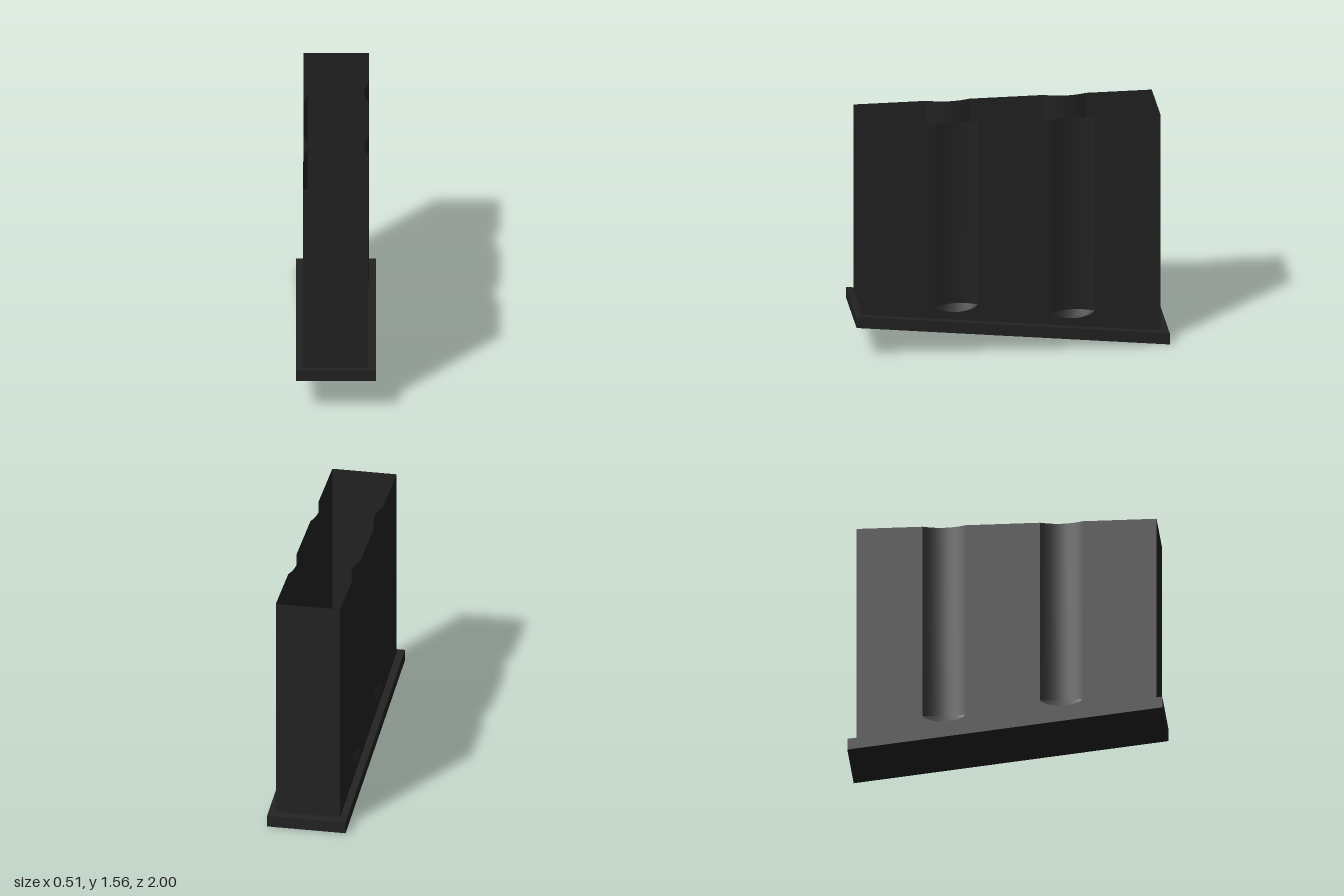
import * as THREE from 'three';
import { toCreasedNormals } from 'three/addons/utils/BufferGeometryUtils.js';

const HALF = 0.207, TOP = 1.56, BACK = -0.945, FRONT = 0.96;
const GROOVES = [-0.39, 0.355], GROOVE_HALF = 0.135, GROOVE_DEPTH = 0.027;
const plateTop = (z) => 0.075 + (z + 1) * 0.11; // sloping floor line

// One long wall: columns along z, each with rows for floor, groove foot, ledge and rim
function sideWall(side) {
  const columns = [{ z: BACK, depth: 0, foot: plateTop(BACK) + 0.09 }];
  for (const centre of GROOVES) {
    for (let i = 0; i <= 16; i++) {
      const t = i / 8 - 1;
      columns.push({
        z: centre + t * GROOVE_HALF,
        depth: GROOVE_DEPTH * (1 - t * t),
        foot: plateTop(centre) + 0.052 + 0.035 * t * t,
      });
    }
  }
  columns.push({ z: FRONT, depth: 0, foot: plateTop(FRONT) + 0.09 });

  const positions = [], index = [];
  columns.forEach(({ z, depth, foot }, c) => {
    const inner = side * (HALF - depth), outer = side * HALF;
    positions.push(outer, plateTop(z), z, outer, foot, z);
    positions.push(inner, foot + 0.01 + depth * 1.5, z, inner, TOP, z);
    if (c === 0) return;
    for (let r = 0; r < 3; r++) {
      const a = (c - 1) * 4 + r, b = a + 1, d = a + 4, e = a + 5;
      if (side > 0) index.push(a, b, d, b, e, d);
      else index.push(a, d, b, b, d, e);
    }
  });
  const geometry = new THREE.BufferGeometry();
  geometry.setAttribute('position', new THREE.Float32BufferAttribute(positions, 3));
  geometry.setIndex(index);
  return toCreasedNormals(geometry, 0.25);
}

// Flat end wall standing on the sloping plate
function endWall(z) {
  const height = TOP - plateTop(z);
  const geometry = new THREE.PlaneGeometry(HALF * 2, height);
  if (z < 0) geometry.rotateY(Math.PI);
  return geometry.translate(0, plateTop(z) + height / 2, z);
}

// Slanted base plate, drawn in side profile and extruded across x
function basePlate() {
  const width = 0.506;
  const profile = new THREE.Shape([
    new THREE.Vector2(-1, 0),
    new THREE.Vector2(1, 0.22),
    new THREE.Vector2(1, 0.295),
    new THREE.Vector2(-1, 0.075),
  ]);
  const geometry = new THREE.ExtrudeGeometry(profile, { depth: width, bevelEnabled: false });
  return geometry.translate(0, 0, -width / 2).rotateY(-Math.PI / 2);
}

export function createModel() {
  const group = new THREE.Group();
  group.name = 'openCase';
  const black = new THREE.MeshStandardMaterial({ color: 0x222222, side: THREE.DoubleSide });
  black.name = 'matte black';

  const add = (name, geometry) => {
    const mesh = new THREE.Mesh(geometry, black);
    mesh.name = name;
    group.add(mesh);
  };
  add('basePlate', basePlate());
  add('leftWall', sideWall(1));
  add('rightWall', sideWall(-1));
  add('frontWall', endWall(FRONT));
  add('backWall', endWall(BACK));
  return group;
}
